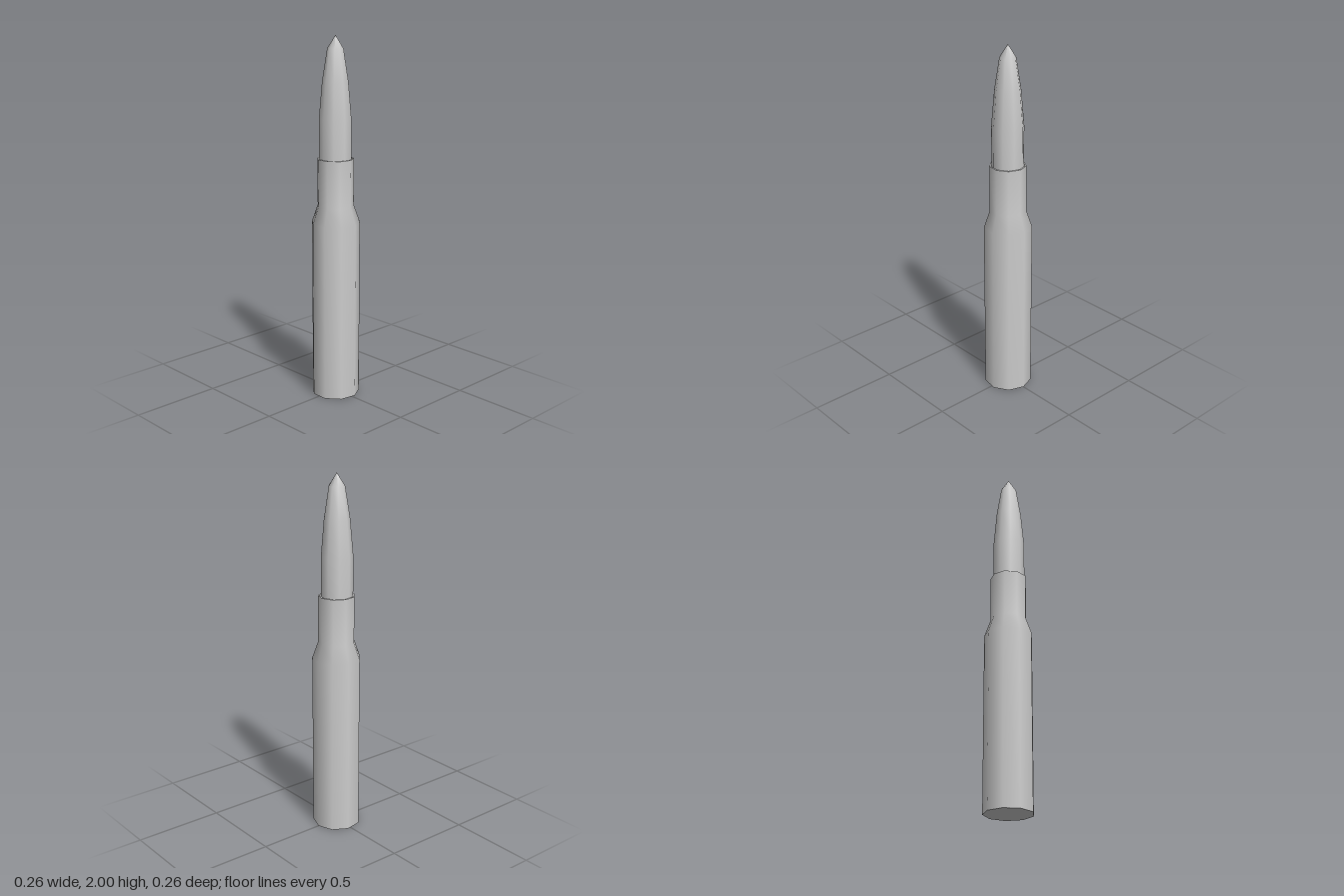
import * as THREE from 'three';

const SIDES = 9;
const material = new THREE.MeshStandardMaterial({ color: 0xcccccc });

// Nine-sided turned surface; each call is one smooth band, so edges between bands stay sharp
function turned(name, profile, startAngle) {
  const points = profile.map(([r, y]) => new THREE.Vector2(r, y));
  const mesh = new THREE.Mesh(new THREE.LatheGeometry(points, SIDES, startAngle, Math.PI * 2), material);
  mesh.name = name;
  return mesh;
}

export function createModel() {
  const group = new THREE.Group();
  group.name = 'cartridge';

  const bodyR = 0.134, neckR = 0.101, mouthR = 0.093, tipR = 0.0885;
  const rimY = 1.345, floorY = 1.325;
  const right = Math.PI / 2; // a corner on +x

  // Casing: base, wall with shoulder and neck, then the open mouth
  const casing = new THREE.Group();
  casing.name = 'casing';
  casing.add(
    turned('casingBase', [[0, 0], [bodyR, 0]], right),
    turned('casingWall', [[bodyR, 0], [bodyR, 0.99], [neckR, 1.084], [neckR, rimY]], right),
    turned('mouthRim', [[neckR, rimY], [mouthR, rimY]], right),
    turned('mouthInside', [[mouthR, rimY], [mouthR, floorY]], right),
    turned('mouthFloor', [[mouthR, floorY], [0, floorY]], right)
  );

  // Pointed head, turned half a revolution from the casing
  const head = turned('pointedHead', [
    [tipR, floorY], [tipR, 1.56], [0.071, 1.76], [0.044, 1.93], [0, 2]
  ], -right);

  group.add(casing, head);

  // Centre the uneven nine-sided outline on x = 0
  for (const part of group.children) part.position.x = -0.004;
  return group;
}
